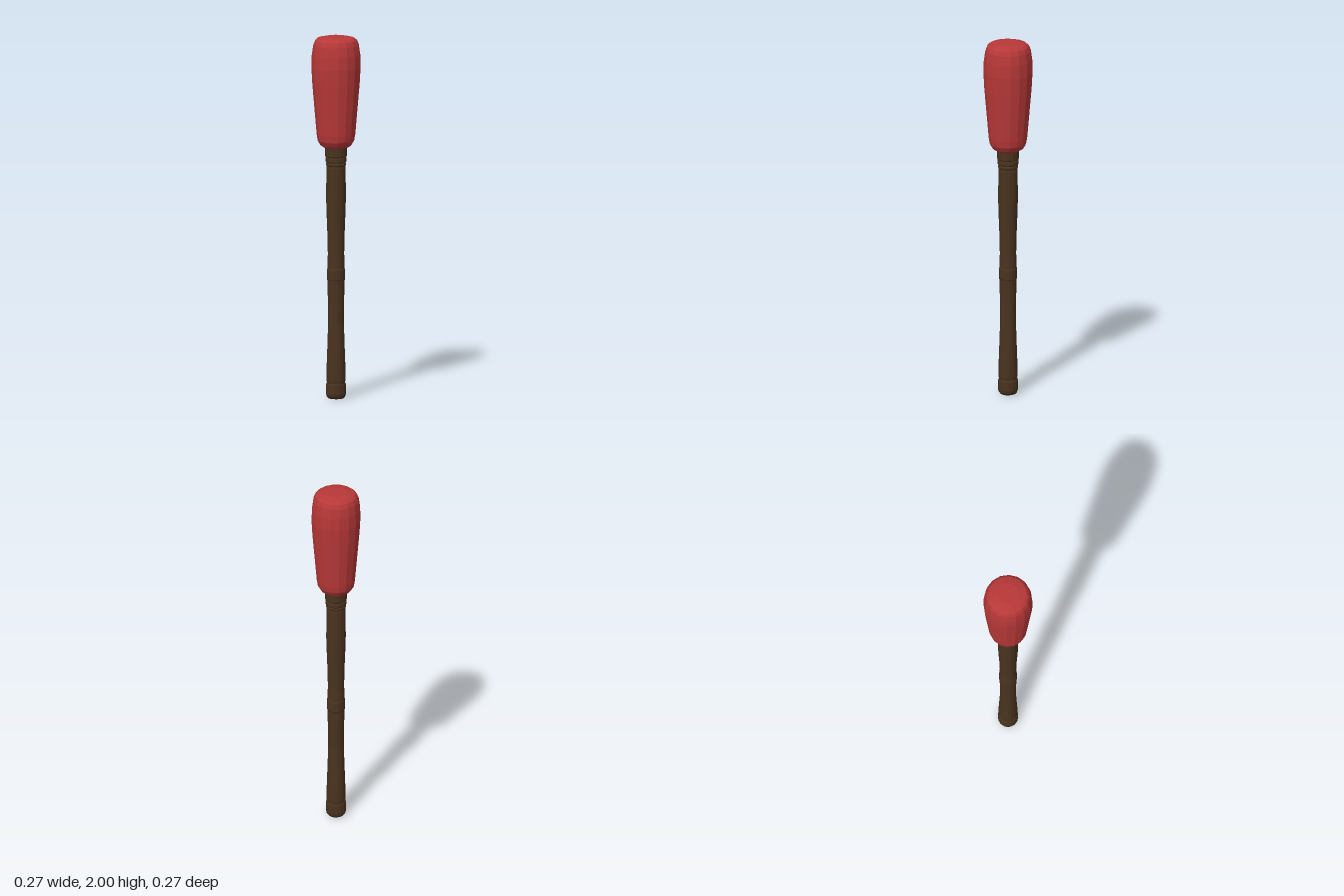
import * as THREE from 'three';

const SIDES = 16;

// Closed, faceted turned part from [radius, height] pairs, bottom to top.
function turned(name, color, profile) {
  const points = profile.map(([r, y]) => new THREE.Vector2(r, y));
  const material = new THREE.MeshStandardMaterial({ color, flatShading: true });
  const mesh = new THREE.Mesh(new THREE.LatheGeometry(points, SIDES), material);
  mesh.name = name;
  return mesh;
}

export function createModel() {
  const group = new THREE.Group();
  group.name = 'mallet';
  const wood = 0x49331f;
  const red = 0xb83838;

  // Rounded foot of the handle
  group.add(turned('handleFoot', wood, [
    [0, 0], [0.042, 0], [0.051, 0.01], [0.055, 0.025],
    [0.055, 0.075], [0.052, 0.085], [0, 0.085],
  ]));

  // Shaft in two tapered lengths, waisted either side of the middle band
  group.add(turned('lowerShaft', wood, [
    [0, 0.083], [0.049, 0.083], [0.052, 0.1], [0.051, 0.19],
    [0.047, 0.3], [0.043, 0.43], [0.044, 0.53], [0.048, 0.655], [0, 0.655],
  ]));
  group.add(turned('middleBand', wood, [
    [0, 0.65], [0.047, 0.65], [0.05, 0.66], [0.05, 0.71], [0.047, 0.72], [0, 0.72],
  ]));
  group.add(turned('upperShaft', wood, [
    [0, 0.718], [0.047, 0.718], [0.045, 0.8], [0.047, 0.9],
    [0.052, 1.03], [0.054, 1.1], [0.053, 1.27], [0.05, 1.29], [0, 1.29],
  ]));

  // Stacked rings under the head
  for (const [name, y0, y1, r] of [
    ['lowerCollarRing', 1.285, 1.305, 0.055],
    ['middleCollarRing', 1.305, 1.335, 0.058],
    ['upperCollarRing', 1.335, 1.4, 0.06],
  ]) {
    group.add(turned(name, wood, [
      [0, y0], [r - 0.004, y0], [r, y0 + 0.006],
      [r, y1 - 0.006], [r - 0.004, y1], [0, y1],
    ]));
  }

  // Padded head, widest near the top, with a shallow domed crown
  group.add(turned('head', red, [
    [0, 1.387], [0.065, 1.387], [0.085, 1.4], [0.1, 1.425], [0.106, 1.46],
    [0.118, 1.6], [0.13, 1.74], [0.135, 1.83], [0.133, 1.9],
    [0.125, 1.955], [0.115, 1.98], [0.102, 1.991], [0.06, 2], [0, 2],
  ]));
  return group;
}
